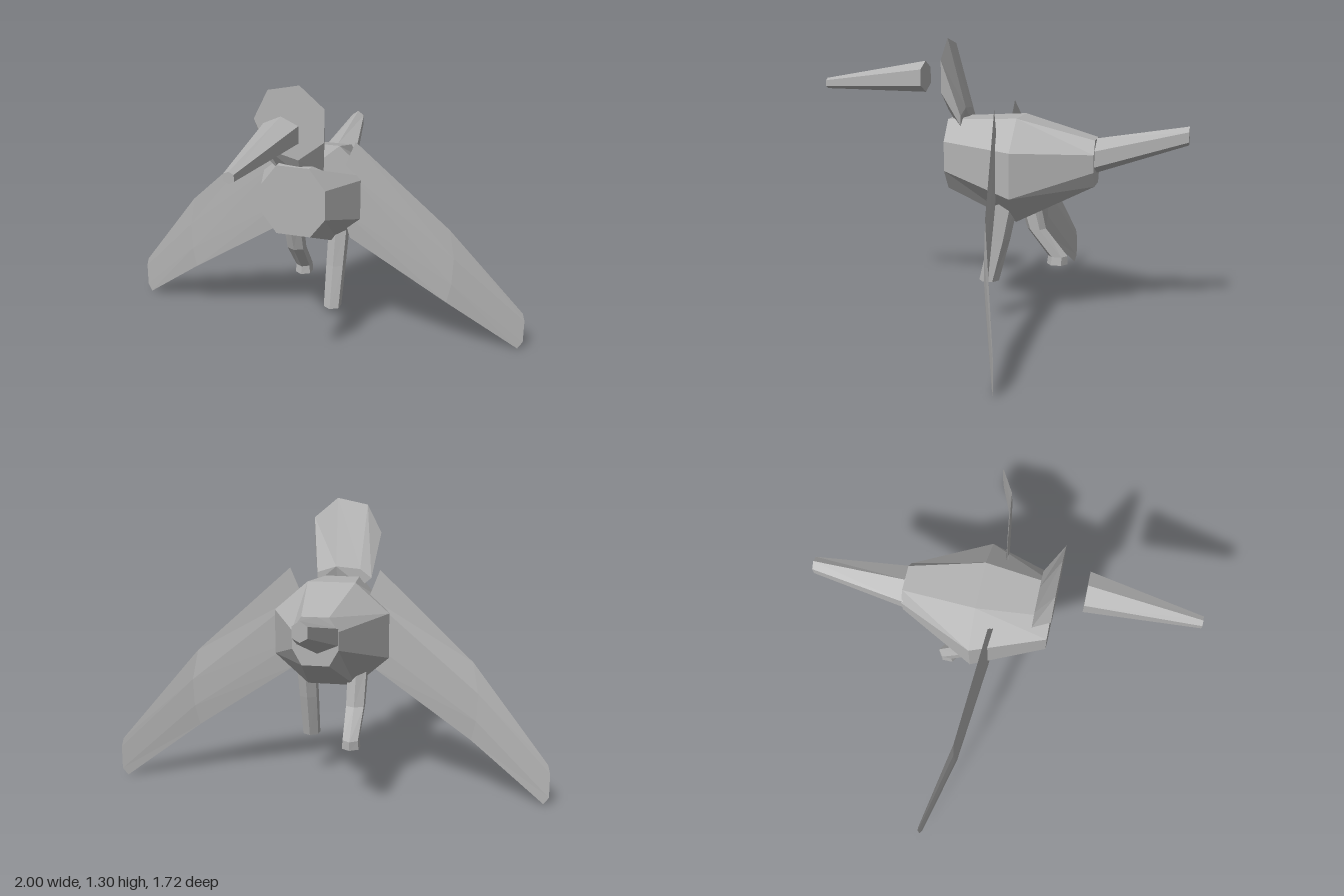
import * as THREE from 'three';

// Flat-shaded solid through matching rings of [x, y, z] points, capped at both ends.
function loft(name, rings, material) {
  const pos = [];
  const tri = (a, b, c) => pos.push(...a, ...b, ...c);
  const n = rings[0].length;
  for (let r = 0; r < rings.length - 1; r++) {
    for (let i = 0; i < n; i++) {
      const j = (i + 1) % n, p = rings[r], q = rings[r + 1];
      tri(p[i], p[j], q[j]);
      tri(p[i], q[j], q[i]);
    }
  }
  const first = rings[0], last = rings[rings.length - 1];
  for (let i = 1; i < n - 1; i++) {
    tri(first[0], first[i + 1], first[i]);
    tri(last[0], last[i], last[i + 1]);
  }
  // Turn all faces outward if the enclosed volume comes out negative
  const v = i => new THREE.Vector3(pos[i], pos[i + 1], pos[i + 2]);
  let volume = 0;
  for (let i = 0; i < pos.length; i += 9) volume += v(i).dot(v(i + 3).cross(v(i + 6)));
  if (volume < 0) {
    for (let i = 0; i < pos.length; i += 9) {
      for (let k = 0; k < 3; k++) [pos[i + 3 + k], pos[i + 6 + k]] = [pos[i + 6 + k], pos[i + 3 + k]];
    }
  }
  const geometry = new THREE.BufferGeometry();
  geometry.setAttribute('position', new THREE.Float32BufferAttribute(pos, 3));
  geometry.computeVertexNormals();
  const mesh = new THREE.Mesh(geometry, material);
  mesh.name = name;
  return mesh;
}

// Upright polygon facing z; zAt may bend it
function polygon(n, start, cx, cy, rx, ry, zAt) {
  return Array.from({ length: n }, (_, i) => {
    const a = start + (i / n) * Math.PI * 2;
    return [cx + rx * Math.cos(a), cy + ry * Math.sin(a), zAt(Math.sin(a))];
  });
}

// Mirrored octagon for the body
function bodyRing(z, topX, topY, sideX, upperY, lowerY, bottomX, bottomY) {
  const half = [[topX, topY, z], [sideX, upperY, z], [sideX, lowerY, z], [bottomX, bottomY, z]];
  return [...half, ...half.map(([x, y]) => [-x, y, z]).reverse()];
}

// Pointed-top hexagon with upright sides, for beak and tail
function hexRing(z, cx, w, top, upper, lower, bottom) {
  return [[cx, top, z], [cx + w, upper, z], [cx + w, lower, z],
    [cx, bottom, z], [cx - w, lower, z], [cx - w, upper, z]];
}

// Level hexagon for the legs
function legRing([x, y, z, rx, rz]) {
  return Array.from({ length: 6 }, (_, i) => {
    const a = (i + 0.5) * Math.PI / 3;
    return [x + rx * Math.cos(a), y, z + rz * Math.sin(a)];
  });
}

// Thin wing section: points from upper to lower edge, slightly thick between them
function wingRing(side, edge, t) {
  const zAt = x => (x < 0.645 ? -0.02 - (x - 0.2) * 0.157 : -0.09 - (x - 0.645) * 0.335);
  const p = (i, dz) => [side * edge[i][0], edge[i][1], zAt(edge[i][0]) + dz];
  return [p(0, 0), p(1, t), p(2, t), p(3, 0), p(2, -t), p(1, -t)];
}

export function createModel() {
  const group = new THREE.Group();
  group.name = 'bird';
  const grey = new THREE.MeshStandardMaterial({ color: 0xb3b3b3 });
  grey.name = 'plain grey';
  const add = (name, rings) => group.add(loft(name, rings, grey));

  add('body', [
    bodyRing(0.23, 0.075, 0.94, 0.15, 0.845, 0.71, 0.08, 0.62),
    bodyRing(-0.1, 0.11, 0.955, 0.265, 0.82, 0.615, 0.11, 0.48),
    bodyRing(-0.45, 0.06, 0.86, 0.1, 0.8, 0.72, 0.06, 0.65),
  ]);

  // Seven-sided flat face narrowing back to the neck
  const start = 76 * Math.PI / 180;
  add('head', [
    polygon(7, start, -0.005, 1.143, 0.17, 0.17, () => 0.24),
    polygon(7, start, -0.004, 0.938, 0.137, 0.053, s => (s < -0.9 ? 0.185 : 0.158)),
  ]);

  add('beak', [
    hexRing(0.36, -0.003, 0.078, 1.2, 1.165, 1.09, 1.055),
    hexRing(0.86, -0.021, 0.022, 1.11, 1.1, 1.072, 1.06),
  ]);

  add('tail', [
    hexRing(-0.44, -0.008, 0.09, 0.86, 0.812, 0.738, 0.7),
    hexRing(-0.86, -0.03, 0.031, 0.925, 0.903, 0.857, 0.84),
  ]);

  // Left leg steps forward, right leg bends back: x, y, z, radius x, radius z
  add('leftLeg', [
    [0.125, 0.58, -0.06, 0.05, 0.055],
    [0.122, 0.4, -0.025, 0.047, 0.05],
    [0.122, 0.2, 0.025, 0.042, 0.047],
  ].map(legRing));
  add('rightLeg', [
    [-0.125, 0.58, -0.1, 0.05, 0.055],
    [-0.122, 0.4, -0.15, 0.047, 0.045],
    [-0.12, 0.27, -0.255, 0.04, 0.047],
    [-0.12, 0.23, -0.252, 0.044, 0.05],
  ].map(legRing));

  // Drooping wings swept back at the tips
  for (const side of [1, -1]) {
    add(side > 0 ? 'leftWing' : 'rightWing', [
      wingRing(side, [[0.21, 1.005], [0.16, 0.88], [0.15, 0.68], [0.19, 0.54]], 0.006),
      wingRing(side, [[0.645, 0.61], [0.67, 0.47], [0.665, 0.34], [0.645, 0.245]], 0.006),
      wingRing(side, [[0.99, 0.19], [1, 0.15], [1, 0.04], [0.977, 0.005]], 0.001),
    ]);
  }
  return group;
}
